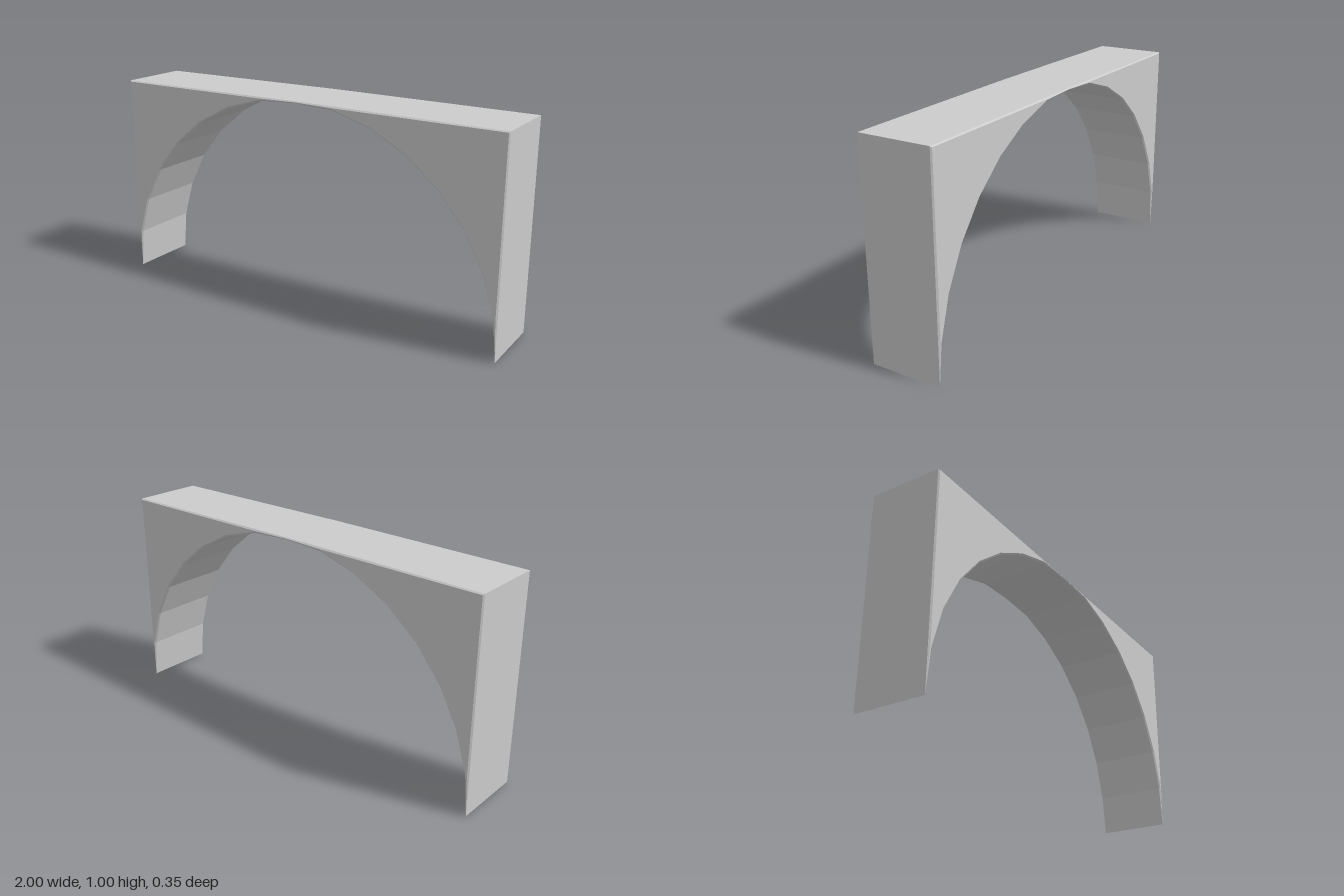
import * as THREE from 'three';

const SEGMENTS = 16;      // facets around the half circle
const HALF_DEPTH = 0.17;  // depth of the rims, before the bevel
const BEVEL = 0.007;

// Cross-section at one angle: from the arch to the block's outline, edges bevelled
function section(i) {
  const a = (i / SEGMENTS) * Math.PI;
  const c = Math.cos(a), s = Math.sin(a);
  const m = 1 / Math.max(Math.abs(c), Math.abs(s));
  const inner = new THREE.Vector2(c, Math.min(s, 0.991));
  const outer = new THREE.Vector2(c * m, s * m);
  // the top rises very slightly towards the middle
  outer.y *= 0.995 + 0.005 * (1 - Math.abs(outer.x));
  const thickness = inner.distanceTo(outer);
  const t = Math.min(BEVEL, thickness / 2);
  const k = thickness > 1e-6 ? t / thickness : 0;
  const innerBevel = inner.clone().lerp(outer, k);
  const outerBevel = outer.clone().lerp(inner, k);
  const z = HALF_DEPTH, zo = HALF_DEPTH + t;
  return [
    [inner, -z], [innerBevel, -zo], [outerBevel, -zo], [outer, -z],
    [outer, z], [outerBevel, zo], [innerBevel, zo], [inner, z],
  ].map(([p, depth]) => [p.x, p.y, depth]);
}

export function createModel() {
  const positions = [], indices = [];
  for (let i = 0; i <= SEGMENTS; i++) {
    for (const p of section(i)) positions.push(...p);
  }
  // Skin between neighbouring cross-sections
  for (let i = 0; i < SEGMENTS; i++) {
    for (let k = 0; k < 8; k++) {
      const a = i * 8 + k, b = i * 8 + ((k + 1) % 8);
      indices.push(a, a + 8, b, b, a + 8, b + 8);
    }
  }
  const geometry = new THREE.BufferGeometry();
  geometry.setAttribute('position', new THREE.Float32BufferAttribute(positions, 3));
  geometry.setIndex(indices);
  geometry.computeVertexNormals();

  const arch = new THREE.Mesh(
    geometry,
    new THREE.MeshStandardMaterial({ color: 0xcccccc, flatShading: true })
  );
  arch.name = 'archBlock';

  const model = new THREE.Group();
  model.name = 'arch';
  model.add(arch);
  return model;
}
